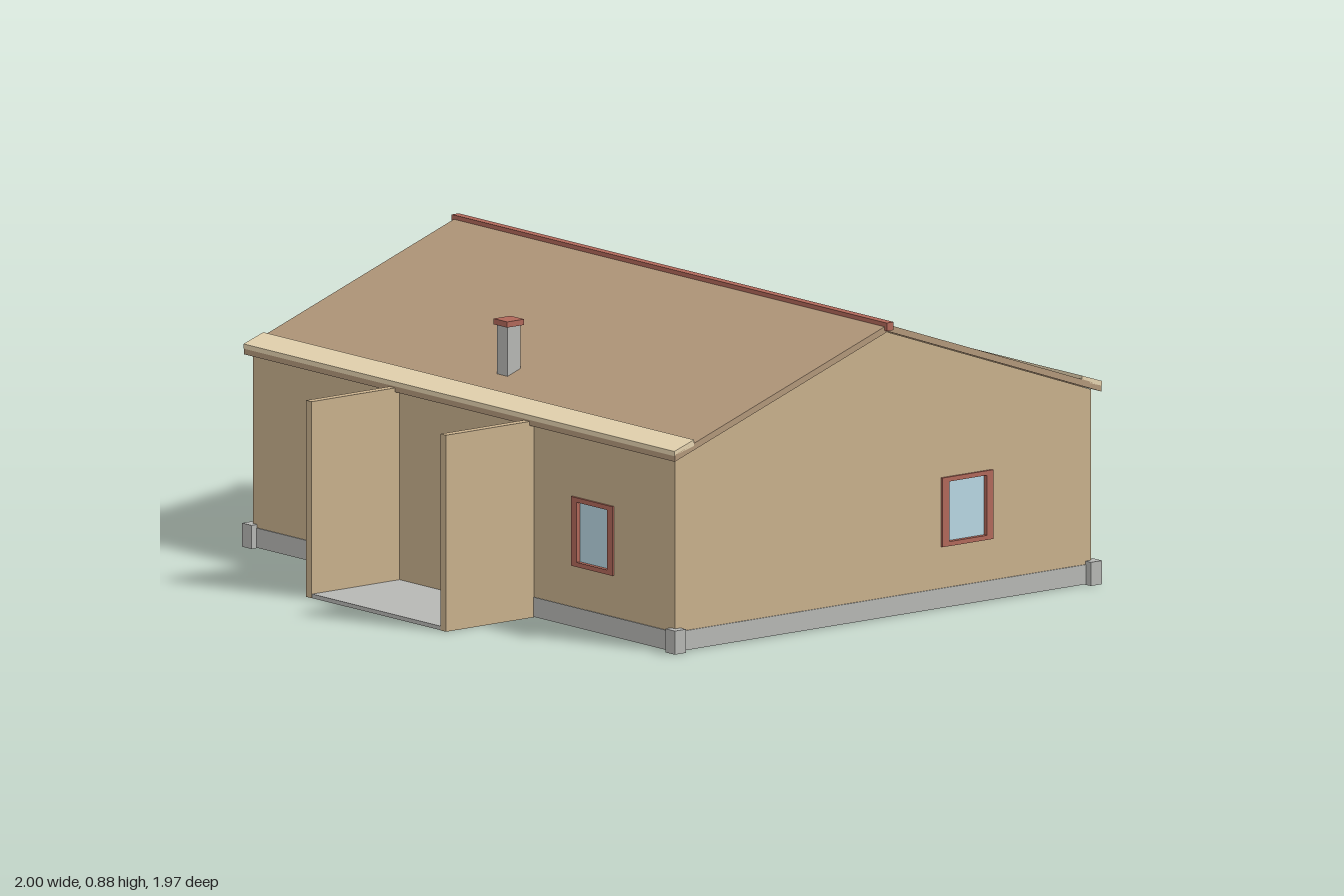
import * as THREE from 'three';

const mat = (color) => new THREE.MeshStandardMaterial({ color });
const M = {
  wall: mat(0xc8b08c), roof: mat(0xb2977a), eave: mat(0xe6d4b0), red: mat(0xb0685a),
  glass: mat(0xb8d6e2), stone: mat(0xb6b7b4), door: mat(0x9c8265),
};

const W = 0.97, FRONT = 0.655, BACK = -0.9, MID = -0.1225, T = 0.025; // outer wall faces
const EAVE = 0.576, PEAK = 0.851, WIN_Y = 0.285;

function add(parent, name, geometry, material, x = 0, y = 0, z = 0) {
  const mesh = new THREE.Mesh(geometry, material);
  mesh.name = name;
  mesh.position.set(x, y, z);
  parent.add(mesh);
  return mesh;
}

// Box given by its lower and upper corners
function box(parent, name, material, [x0, y0, z0], [x1, y1, z1]) {
  return add(parent, name, new THREE.BoxGeometry(x1 - x0, y1 - y0, z1 - z0), material,
    (x0 + x1) / 2, (y0 + y1) / 2, (z0 + z1) / 2);
}

const polygon = (pts) => new THREE.Shape(pts.map(([x, y]) => new THREE.Vector2(x, y)));
const rect = (cx, cy, w, h) => [
  [cx - w / 2, cy - h / 2], [cx + w / 2, cy - h / 2], [cx + w / 2, cy + h / 2], [cx - w / 2, cy + h / 2]];

// Flat panel with openings
function panel(outline, holes, depth) {
  const shape = polygon(outline);
  holes.forEach((h) => shape.holes.push(polygon([...h].reverse())));
  return new THREE.ExtrudeGeometry(shape, { depth, bevelEnabled: false });
}

// Profile in (z, y), extruded along x from -half to +half
function alongX(pts, half) {
  return panel(pts, [], 2 * half).rotateY(-Math.PI / 2).translate(half, 0, 0);
}

const windowHole = (x) => rect(x, WIN_Y, 0.16, 0.19);

function makeWindow(parent, x, z, turn) {
  const g = new THREE.Group();
  g.name = 'window';
  add(g, 'windowFrame', panel(rect(0, 0, 0.19, 0.205), [rect(0, 0, 0.14, 0.178)], 0.022), M.red, 0, 0, -0.015);
  add(g, 'windowPane', new THREE.BoxGeometry(0.15, 0.185, 0.006), M.glass, 0, 0, -0.01);
  g.position.set(x, WIN_Y, z);
  g.rotation.y = turn;
  parent.add(g);
}

export function createModel() {
  const house = new THREE.Group();
  house.name = 'house';

  // Front and back walls
  const longWall = rect(0, EAVE / 2 + 0.001, 2 * W, EAVE - 0.002);
  add(house, 'frontWall', panel(longWall, [windowHole(-0.595), windowHole(0.595)], T), M.wall, 0, 0, FRONT - T);
  const doorHole = rect(0, 0.225, 0.19, 0.41);
  add(house, 'backWall', panel(longWall, [windowHole(-0.445), windowHole(0.445), doorHole], T), M.wall, 0, 0, BACK);

  // Gable walls
  const gable = [[BACK, 0.002], [FRONT, 0.002], [FRONT, EAVE], [MID, PEAK], [BACK, EAVE]];
  for (const x of [W, -W + T]) {
    add(house, 'gableWall', panel(gable, [windowHole(-0.435)], T).rotateY(-Math.PI / 2), M.wall, x);
  }

  // Windows
  for (const s of [-1, 1]) {
    makeWindow(house, s * 0.595, FRONT, 0);
    makeWindow(house, s * 0.445, BACK, Math.PI);
    makeWindow(house, s * W, -0.435, s * Math.PI / 2);
  }

  // Floors and back step
  box(house, 'houseFloor', M.wall, [-W, 0.002, BACK], [W, 0.01, FRONT]);
  box(house, 'porchSlab', M.stone, [-0.3, 0, -0.2], [0.3, 0.012, 0.982]);
  box(house, 'backStep', M.stone, [-0.21, 0, -0.985], [0.21, 0.016, BACK]);

  // Plinth strips, corner blocks and porch side walls
  const p = 0.003, h = 0.06;
  for (const s of [-1, 1]) {
    const strip = (x0, x1, z0, z1) => box(house, 'plinth', M.stone,
      [Math.min(s * x0, s * x1), 0.002, z0], [Math.max(s * x0, s * x1), h, z1]);
    strip(0.32, W, FRONT - 0.01, FRONT + p);
    strip(0.1, W, BACK - p, BACK + 0.01);
    strip(W - 0.01, W + p, BACK, FRONT);
    for (const z of [FRONT, BACK]) {
      box(house, 'cornerBlock', M.stone, [s * 0.973 - 0.022, 0, z - 0.021], [s * 0.973 + 0.022, 0.07, z + 0.021]);
    }
    box(house, 'porchSideWall', M.wall, [s * 0.309 - 0.013, 0, FRONT - 0.01], [s * 0.309 + 0.013, 0.582, 0.984]);
  }

  // Door frame and a leaf standing ajar
  add(house, 'doorFrame', panel(rect(0, 0.226, 0.214, 0.42), [rect(0, 0.22, 0.18, 0.392)], T + 0.01), M.door, 0, 0, BACK - 0.006);
  const leaf = add(house, 'doorLeaf', new THREE.BoxGeometry(0.178, 0.39, 0.01).translate(0.089, 0, 0), M.door, -0.089, 0.22, BACK + 0.012);
  leaf.rotation.y = -0.55;

  // Roof, eave strips and ridge cap
  const RZ = -0.125, run = 0.797, top = 0.872, low = 0.59, t = 0.02;
  add(house, 'roof', alongX([
    [RZ - run, low - t], [RZ, top - t], [RZ + run, low - t],
    [RZ + run, low], [RZ, top], [RZ - run, low]], 0.99), M.roof);
  for (const s of [-1, 1]) {
    const pts = [[run + 0.002, 0.587], [run + 0.002, 0.601], [0.725, 0.626], [0.725, 0.608]]
      .map(([d, y]) => [RZ + s * d, y]);
    add(house, 'eaveStrip', alongX(pts, 0.99), M.eave);
  }
  box(house, 'ridgeCap', M.red, [-1, 0.856, RZ - 0.013], [1, 0.88, RZ + 0.013]);

  // Chimney
  box(house, 'chimney', M.stone, [-0.024, 0.63, 0.463], [0.024, 0.795, 0.512]);
  box(house, 'chimneyCap', M.red, [-0.031, 0.793, 0.456], [0.031, 0.81, 0.519]);

  return house;
}
